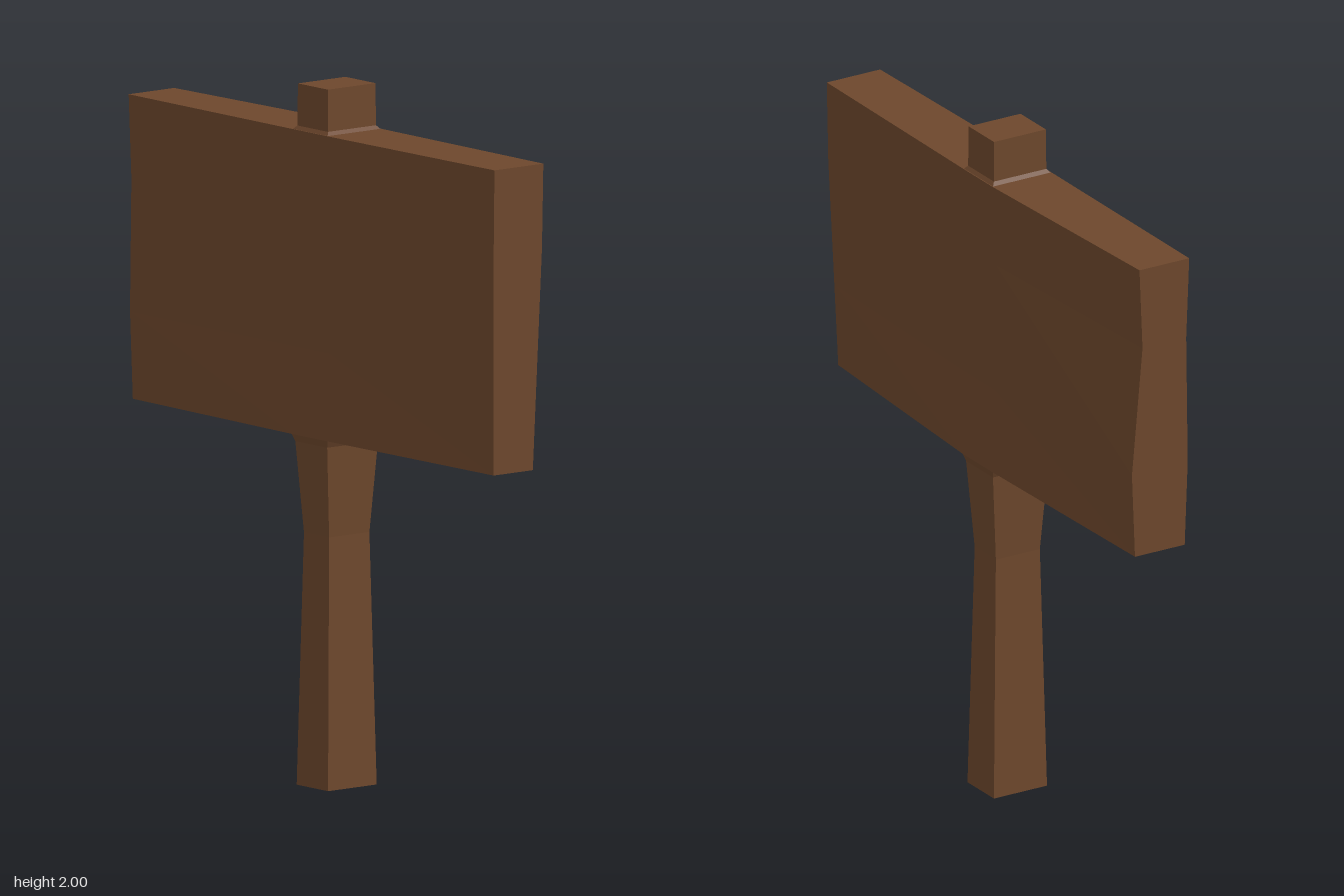
import * as THREE from 'three';

// Skin a list of rings (counter-clockwise about the direction of advance) and cap both ends
function loft(rings) {
  const pos = [];
  const tri = (a, b, c) => pos.push(...a, ...b, ...c);
  const n = rings[0].length;
  for (let i = 0; i < rings.length - 1; i++) {
    for (let j = 0; j < n; j++) {
      const k = (j + 1) % n;
      tri(rings[i][j], rings[i][k], rings[i + 1][k]);
      tri(rings[i][j], rings[i + 1][k], rings[i + 1][j]);
    }
  }
  const cap = (ring, flip) => {
    const mid = [0, 1, 2].map(a => ring.reduce((s, p) => s + p[a], 0) / n);
    for (let j = 0; j < n; j++) {
      const p = ring[j], q = ring[(j + 1) % n];
      flip ? tri(mid, q, p) : tri(mid, p, q);
    }
  };
  cap(rings[0], true);
  cap(rings[rings.length - 1], false);
  const g = new THREE.BufferGeometry();
  g.setAttribute('position', new THREE.Float32BufferAttribute(pos, 3));
  g.computeVertexNormals();
  return g;
}

// Rectangular beam from rows of [y, half width, half depth]
function beam(rows) {
  return loft(rows.map(([y, w, d]) => [[-w, y, d], [w, y, d], [w, y, -d], [-w, y, -d]]));
}

export function createModel() {
  const group = new THREE.Group();
  const wood = new THREE.MeshStandardMaterial({ color: 0x6d472c });
  wood.name = 'brown wood';
  wood.flatShading = true;

  const add = (name, geometry) => {
    const mesh = new THREE.Mesh(geometry, wood);
    mesh.name = name;
    group.add(mesh);
  };

  // Post, waisted below the board and flared where it meets it
  add('post', beam([
    [0, 0.07, 0.088], [0.72, 0.056, 0.073], [0.98, 0.071, 0.092],
    [1.0, 0.08, 0.098], [1.03, 0.075, 0.085],
  ]));

  // Stub of the post above the board
  add('postTop', beam([
    [1.84, 0.075, 0.085], [1.868, 0.079, 0.097], [1.88, 0.068, 0.087], [2.0, 0.067, 0.086],
  ]));

  // Hand-hewn board: front and back depths at four heights, for each station along x
  const heights = [1.87, 1.63, 1.25, 1.0];
  const stations = [
    { x: -0.81, front: [0.095, 0.085, 0.09, 0.08], back: [-0.07, -0.06, -0.095, -0.085] },
    { x: -0.08, front: [0.098, 0.09, 0.09, 0.098], back: [-0.098, -0.088, -0.09, -0.098] },
    { x: 0.08, front: [0.098, 0.09, 0.09, 0.098], back: [-0.098, -0.088, -0.09, -0.098] },
    { x: 0.81, front: [0.087, 0.09, 0.09, 0.09], back: [-0.09, -0.085, -0.065, -0.052] },
  ];
  add('signBoard', loft(stations.map(({ x, front, back }) => [
    ...heights.map((y, i) => [x, y, front[i]]),
    ...heights.map((y, i) => [x, y, back[i]]).reverse(),
  ])));

  return group;
}
